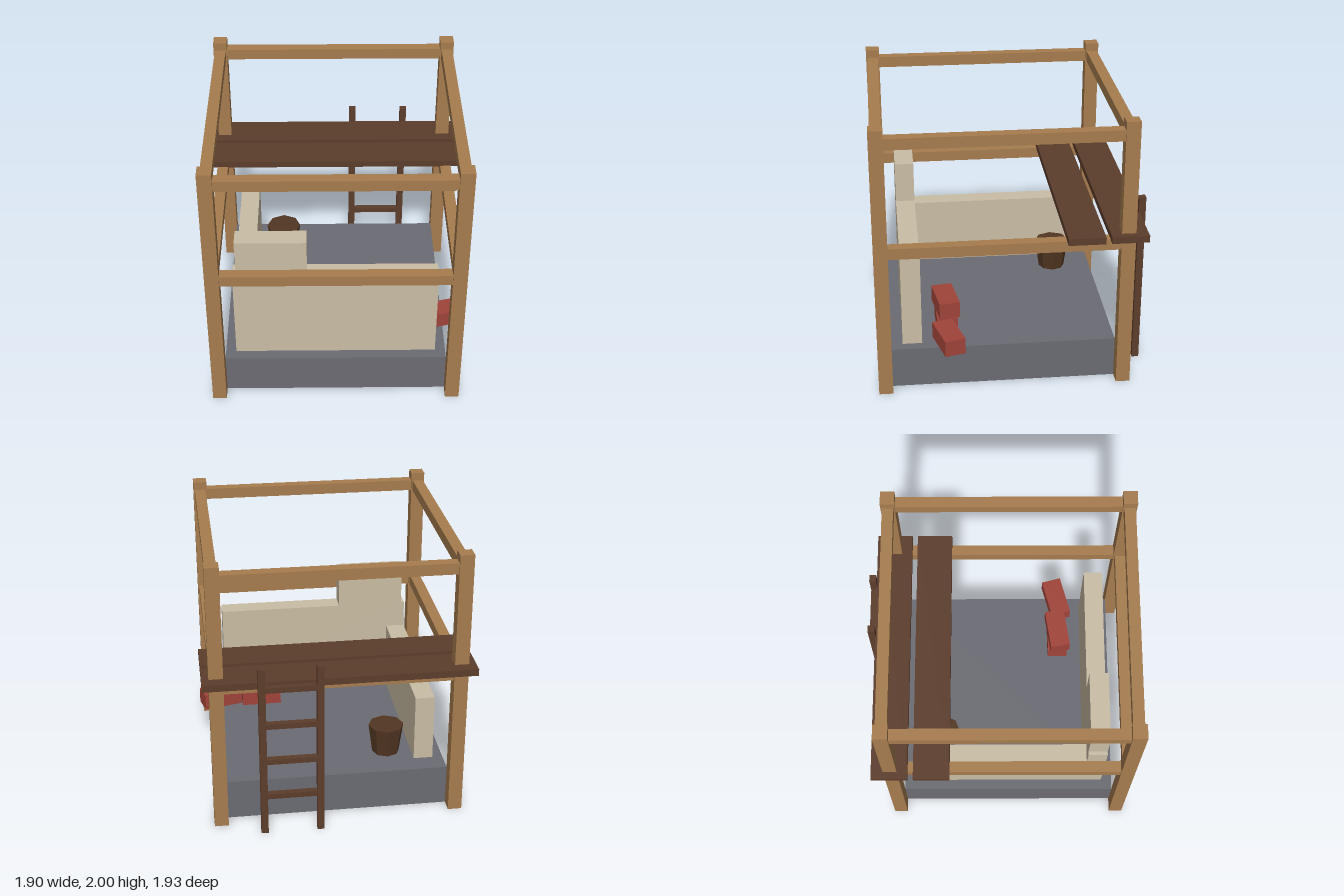
import * as THREE from 'three';

const mat = (name, color) => {
  const m = new THREE.MeshStandardMaterial({ color });
  m.name = name;
  return m;
};

export function createModel() {
  const model = new THREE.Group();
  model.name = 'ruinedShelter';

  const timber = mat('timber', 0xa67c4f);
  const darkWood = mat('darkWood', 0x5c3d2b);
  const bucketWood = mat('bucketWood', 0x523622);
  const stone = mat('stone', 0x6b6b73);
  const plaster = mat('plaster', 0xc9bda4);
  const brickRed = mat('brickRed', 0xa0443a);

  // box from centre x, base y, centre z
  const box = (name, material, w, h, d, x, y, z, parent = model) => {
    const mesh = new THREE.Mesh(new THREE.BoxGeometry(w, h, d), material);
    mesh.name = name;
    mesh.position.set(x, y + h / 2, z);
    parent.add(mesh);
    return mesh;
  };
  const group = (name) => {
    const g = new THREE.Group();
    g.name = name;
    model.add(g);
    return g;
  };

  const midZ = 0.065, half = 0.85;

  // Foundation slab
  box('foundation', stone, 1.6, 0.3, 1.6, 0, 0, midZ);

  // Corner posts and two rings of rails
  const frame = group('timberFrame');
  for (const sx of [-1, 1])
    for (const sz of [-1, 1])
      box('post', timber, 0.1, 2, 0.1, sx * half, 0, midZ + sz * half, frame);
  for (const y of [1.06, 1.86])
    for (const s of [-1, 1]) {
      box('crossRail', timber, 1.6, 0.08, 0.08, 0, y, midZ + s * half, frame);
      box('sideRail', timber, 0.08, 0.08, 1.6, s * half, y, midZ, frame);
    }

  // Broken walls
  const walls = group('walls');
  box('frontWall', plaster, 1.45, 0.7, 0.14, 0, 0.3, 0.715, walls);
  box('frontWallRaisedPart', plaster, 0.5, 0.3, 0.14, -0.45, 1.0, 0.715, walls);
  box('sideWall', plaster, 0.14, 0.5, 1.23, -0.655, 0.3, 0.03, walls);

  // Walkway planks
  const walkway = group('walkway');
  for (const z of [-0.79, -0.49])
    box('plank', darkWood, 1.9, 0.05, 0.26, 0, 1.135, z, walkway);

  // Ladder
  const ladder = group('ladder');
  for (const x of [0.15, 0.55])
    box('ladderStile', darkWood, 0.05, 1.3, 0.05, x, 0, -0.94, ladder);
  for (let i = 0; i < 4; i++)
    box('ladderRung', darkWood, 0.36, 0.04, 0.045, 0.35, 0.28 + i * 0.28, -0.94, ladder);

  // Eight-sided bucket
  const bucketGeo = new THREE.CylinderGeometry(0.13, 0.1, 0.22, 8).toNonIndexed();
  bucketGeo.computeVertexNormals();
  const bucket = new THREE.Mesh(bucketGeo, bucketWood);
  bucket.name = 'bucket';
  bucket.position.set(-0.4, 0.41, -0.437);
  model.add(bucket);

  // Loose bricks: x, base y, z, turn
  const bricks = group('bricks');
  for (const [x, y, z, turn] of [
    [0.452, 0.3, 0.458, 0.02],
    [0.45, 0.42, 0.458, 0.15],
    [0.77, 0.3, 0.457, 0.26],
  ]) box('brick', brickRed, 0.3, 0.12, 0.15, x, y, z, bricks).rotation.y = turn;

  return model;
}
